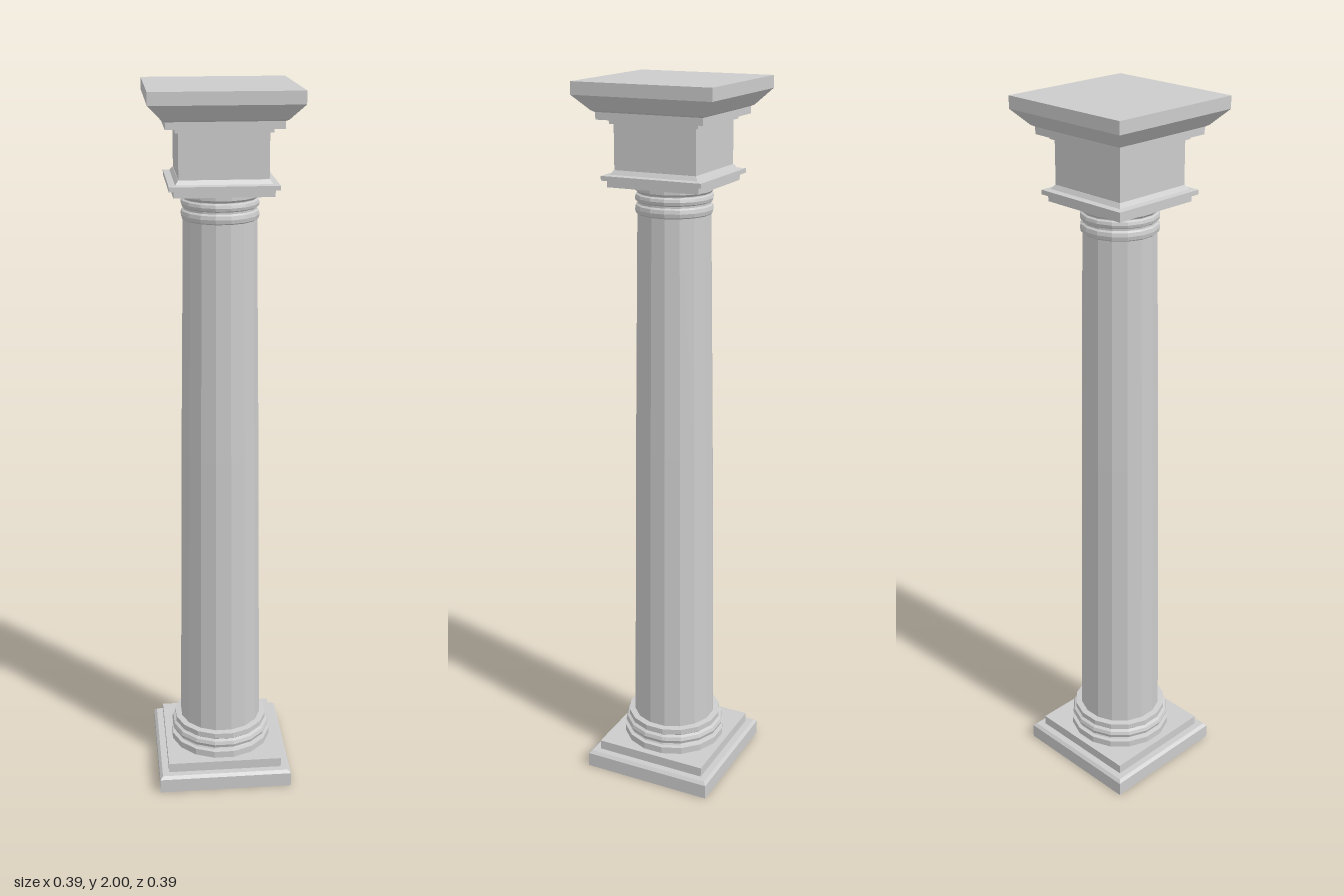
import * as THREE from 'three';

const SIDES = 16;

// Half-round bead between two heights, as profile points
function bead(r, bulge, y0, y1, steps = 4) {
  const pts = [];
  for (let i = 0; i <= steps; i++) {
    const a = (i / steps) * Math.PI;
    pts.push([r + bulge * Math.sin(a), (y0 + y1) / 2 - ((y1 - y0) / 2) * Math.cos(a)]);
  }
  return pts;
}

// Regular prism stack turned from [half width, height] points, flat face to the front
function turned(name, sides, profile) {
  const k = 1 / Math.cos(Math.PI / sides);
  const closed = [[0, profile[0][1]], ...profile, [0, profile[profile.length - 1][1]]];
  const points = closed.map(([r, y]) => new THREE.Vector2(r * k, y));
  const geometry = new THREE.LatheGeometry(points, sides, Math.PI / sides);
  const material = new THREE.MeshStandardMaterial({ color: 0xcccccc, flatShading: true });
  const mesh = new THREE.Mesh(geometry, material);
  mesh.name = name;
  return mesh;
}

export function createModel() {
  const column = new THREE.Group();
  column.name = 'column';

  // Square stepped foot
  column.add(turned('plinth', 4, [
    [0.193, 0], [0.193, 0.042], [0.185, 0.05], [0.166, 0.05], [0.166, 0.078],
  ]));

  // Round base mouldings
  column.add(turned('baseMoulding', SIDES, [
    [0.146, 0.078], [0.146, 0.098], [0.135, 0.1],
    ...bead(0.132, 0.012, 0.106, 0.134),
    [0.134, 0.136], [0.134, 0.152], [0.117, 0.154],
  ]));

  // Tapered shaft
  column.add(turned('shaft', SIDES, [[0.117, 0.15], [0.107, 1.0], [0.097, 1.66]]));

  // Round necking beads
  column.add(turned('neckRings', SIDES, [
    ...bead(0.096, 0.007, 1.655, 1.683),
    ...bead(0.096, 0.007, 1.688, 1.71),
    [0.096, 1.712], [0.102, 1.718], [0.102, 1.735],
  ]));

  // Square moulding under the capital block
  column.add(turned('lowerCapitalMoulding', 4, [
    [0.13, 1.732], [0.13, 1.748], [0.142, 1.75], [0.142, 1.762], [0.125, 1.764], [0.117, 1.775],
  ]));

  // Capital block
  column.add(turned('capitalBlock', 4, [[0.116, 1.762], [0.116, 1.895]]));

  // Flaring cornice and top slab
  column.add(turned('cornice', 4, [
    [0.125, 1.892], [0.125, 1.902], [0.15, 1.904], [0.15, 1.923],
    [0.158, 1.927], [0.195, 1.967], [0.195, 2],
  ]));

  return column;
}
